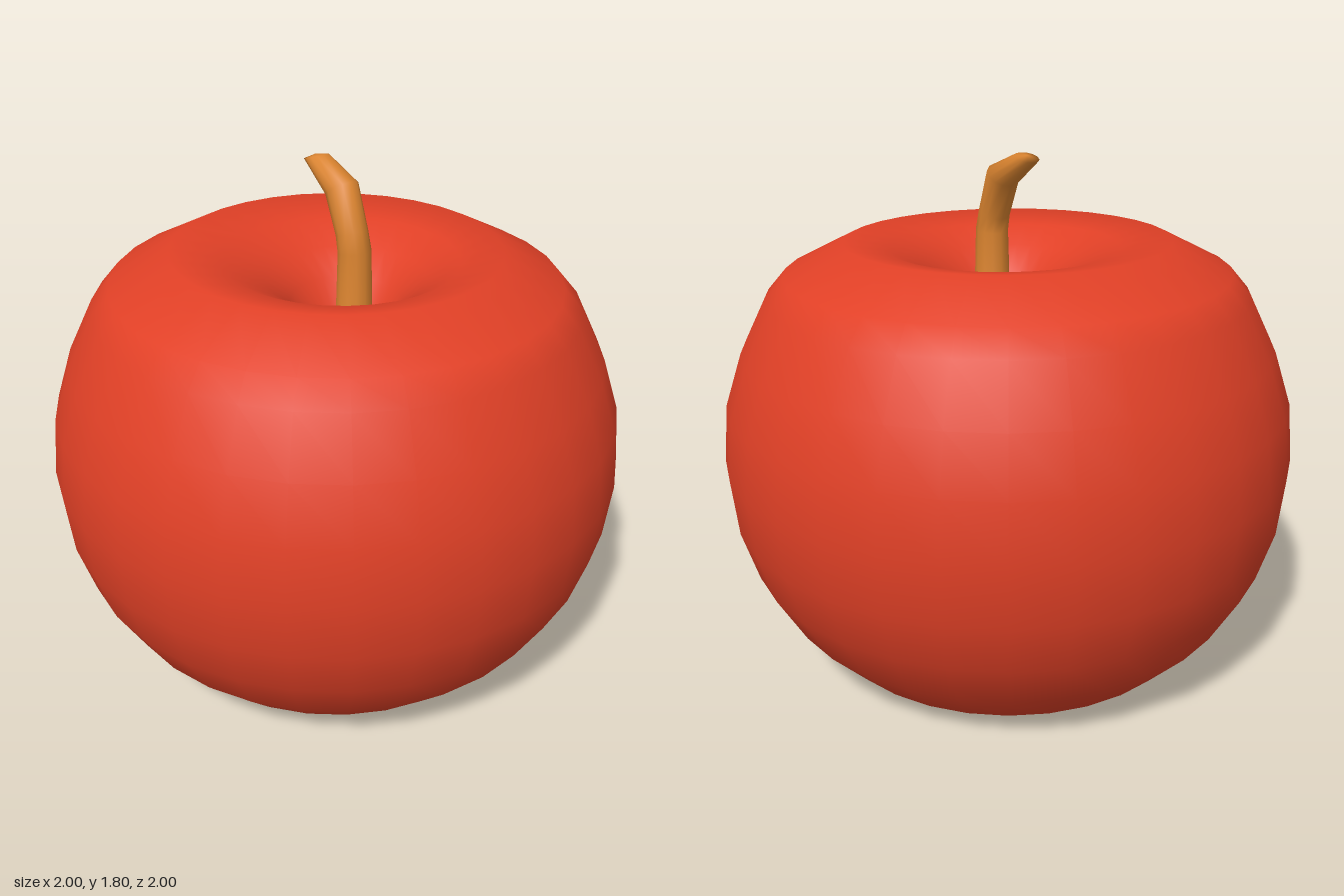
import * as THREE from 'three';
import { mergeVertices } from 'three/addons/utils/BufferGeometryUtils.js';

const skinRed = new THREE.MeshStandardMaterial({ color: 0xe04026 });
const stemBrown = new THREE.MeshStandardMaterial({ color: 0xd9832f });

// Turned fruit body with a dimple below and a stem cavity above
function makeBody() {
  const profile = [
    [0, 0.12], [0.14, 0.10], [0.3, 0.05], [0.48, 0.01], [0.685, 0.068], [0.825, 0.215],
    [0.925, 0.39], [0.98, 0.57], [1, 0.77], [0.98, 0.97], [0.92, 1.15], [0.83, 1.33],
    [0.765, 1.405], [0.56, 1.508], [0.4, 1.475], [0.28, 1.415], [0.19, 1.34],
    [0.14, 1.25], [0.08, 1.17], [0, 1.15],
  ].map(([r, y]) => new THREE.Vector2(r, y));
  let geo = new THREE.LatheGeometry(profile, 32);
  const p = geo.attributes.position;
  for (let i = 0; i < p.count; i++) {
    const x = p.getX(i), y = p.getY(i), z = p.getZ(i);
    // the left half is a touch shorter; the cavity sits off centre
    p.setY(i, 0.77 + (y - 0.77) * (1 - 0.012 * x));
    if (y > 1) p.setX(i, x + 0.09 * Math.max(0, 1 - Math.hypot(x, z) / 0.55));
  }
  // weld the seam for continuous smooth normals
  geo.deleteAttribute('uv');
  geo.deleteAttribute('normal');
  geo = mergeVertices(geo, 1e-4);
  geo.computeVertexNormals();
  return geo;
}

// Bent stem: rings given as centre x, centre y, radius and lean
function makeStem() {
  const rings = [
    [0.1, 1.12, 0.1, 0], [0.1, 1.2, 0.095, 0], [0.1, 1.3, 0.062, 0],
    [0.1, 1.52, 0.056, 0.12], [0.085, 1.58, 0.054, 0.3],
    [0.03, 1.715, 0.057, 0.6], [-0.11, 1.789, 0.042, 0.3],
  ];
  const sides = 12, pos = [], index = [];
  for (const [cx, cy, r, lean] of rings) {
    for (let j = 0; j < sides; j++) {
      const a = (j / sides) * Math.PI * 2, u = Math.cos(a) * r;
      pos.push(cx + u * Math.cos(lean), cy + u * Math.sin(lean), Math.sin(a) * r);
    }
  }
  for (let i = 0; i < rings.length - 1; i++) {
    for (let j = 0; j < sides; j++) {
      const a = i * sides + j, b = i * sides + ((j + 1) % sides);
      index.push(a, a + sides, b, b, a + sides, b + sides);
    }
  }
  // rounded-looking tip cap
  const last = (rings.length - 1) * sides, tip = pos.length / 3;
  pos.push(-0.113, 1.797, 0);
  for (let j = 0; j < sides; j++) index.push(last + j, tip, last + ((j + 1) % sides));
  const geo = new THREE.BufferGeometry();
  geo.setAttribute('position', new THREE.Float32BufferAttribute(pos, 3));
  geo.setIndex(index);
  geo.computeVertexNormals();
  return geo;
}

export function createModel() {
  const group = new THREE.Group();
  group.name = 'apple';
  const body = new THREE.Mesh(makeBody(), skinRed);
  body.name = 'body';
  const stem = new THREE.Mesh(makeStem(), stemBrown);
  stem.name = 'stem';
  group.add(body, stem);
  return group;
}
